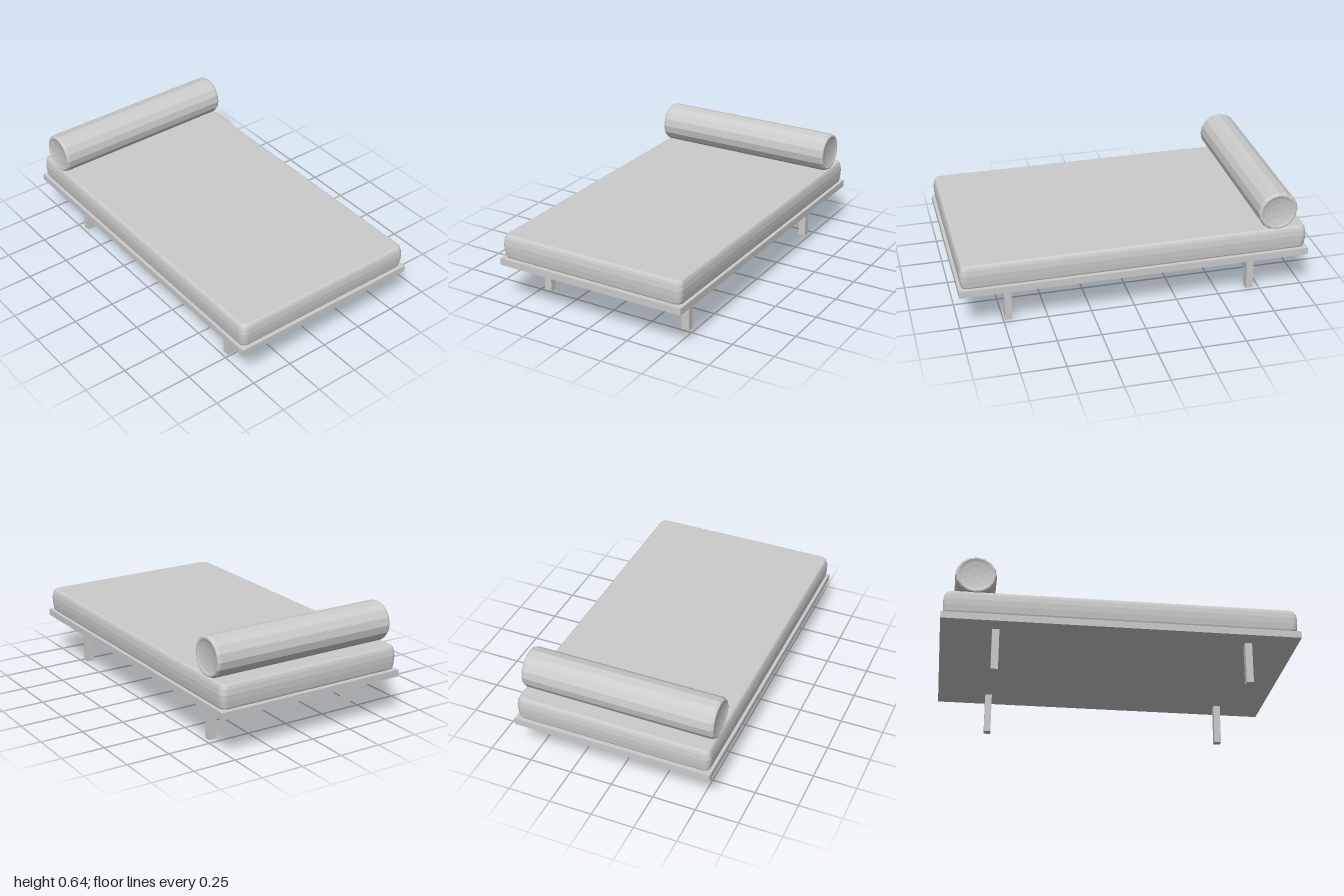
import * as THREE from 'three';

const material = new THREE.MeshStandardMaterial({ color: 0xcccccc, flatShading: true });

function addPart(parent, name, geometry, x, y, z) {
  const mesh = new THREE.Mesh(geometry, material);
  mesh.name = name;
  mesh.position.set(x, y, z);
  parent.add(mesh);
  return mesh;
}

// Cushion lofted through rounded rectangles; each level is [height, inset]
function cushionGeometry(halfX, halfZ, radius, steps, levels) {
  const positions = [], index = [];
  const count = 4 * (steps + 1);
  for (const [y, inset] of levels) {
    for (let corner = 0; corner < 4; corner++) {
      const sx = corner === 0 || corner === 3 ? 1 : -1;
      const sz = corner < 2 ? 1 : -1;
      for (let s = 0; s <= steps; s++) {
        const a = (corner + s / steps) * Math.PI / 2;
        positions.push(
          sx * (halfX - inset - radius) + radius * Math.cos(a),
          y,
          sz * (halfZ - inset - radius) + radius * Math.sin(a));
      }
    }
  }
  const last = levels.length - 1;
  const bottom = count * levels.length, top = bottom + 1;
  positions.push(0, levels[0][0], 0, 0, levels[last][0], 0);
  for (let i = 0; i < count; i++) {
    const j = (i + 1) % count;
    for (let l = 0; l < last; l++) {
      const a = l * count + i, b = l * count + j;
      index.push(a, a + count, b, b, a + count, b + count);
    }
    index.push(bottom, i, j, top, last * count + j, last * count + i);
  }
  const geometry = new THREE.BufferGeometry();
  geometry.setAttribute('position', new THREE.Float32BufferAttribute(positions, 3));
  geometry.setIndex(index);
  geometry.computeVertexNormals();
  return geometry;
}

export function createModel() {
  const model = new THREE.Group();
  model.name = 'daybed';

  // Flat platform
  addPart(model, 'platform', new THREE.BoxGeometry(1.16, 0.04, 2), 0, 0.26, 0);

  // Four square legs
  const legs = new THREE.Group();
  legs.name = 'legs';
  model.add(legs);
  for (const [end, z] of [['front', 0.72], ['back', -0.695]]) {
    for (const [side, x] of [['Left', 0.455], ['Right', -0.455]]) {
      addPart(legs, `${end}${side}Leg`, new THREE.BoxGeometry(0.045, 0.24, 0.04), x, 0.12, z);
    }
  }

  // Mattress with softly bulging sides
  const levels = [[0.28, 0.018], [0.285, 0.009], [0.295, 0.005], [0.33, 0.001], [0.365, 0],
    [0.395, 0.004], [0.41, 0.009], [0.417, 0.014], [0.42, 0.022]];
  addPart(model, 'mattress', cushionGeometry(0.573, 0.99, 0.035, 4, levels), 0, 0, 0);

  // Faceted bolster with bevelled rims and slightly dished ends
  const half = [[0, 0.548], [0.05, 0.551], [0.085, 0.557], [0.1, 0.563], [0.108, 0.561], [0.115, 0.548]];
  const profile = [
    ...half.map(([r, h]) => new THREE.Vector2(r, -h)),
    ...half.slice().reverse().map(([r, h]) => new THREE.Vector2(r, h)),
  ];
  const bolster = new THREE.LatheGeometry(profile, 16);
  bolster.rotateZ(-Math.PI / 2);
  addPart(model, 'bolster', bolster, -0.004, 0.524, -0.817);

  return model;
}
